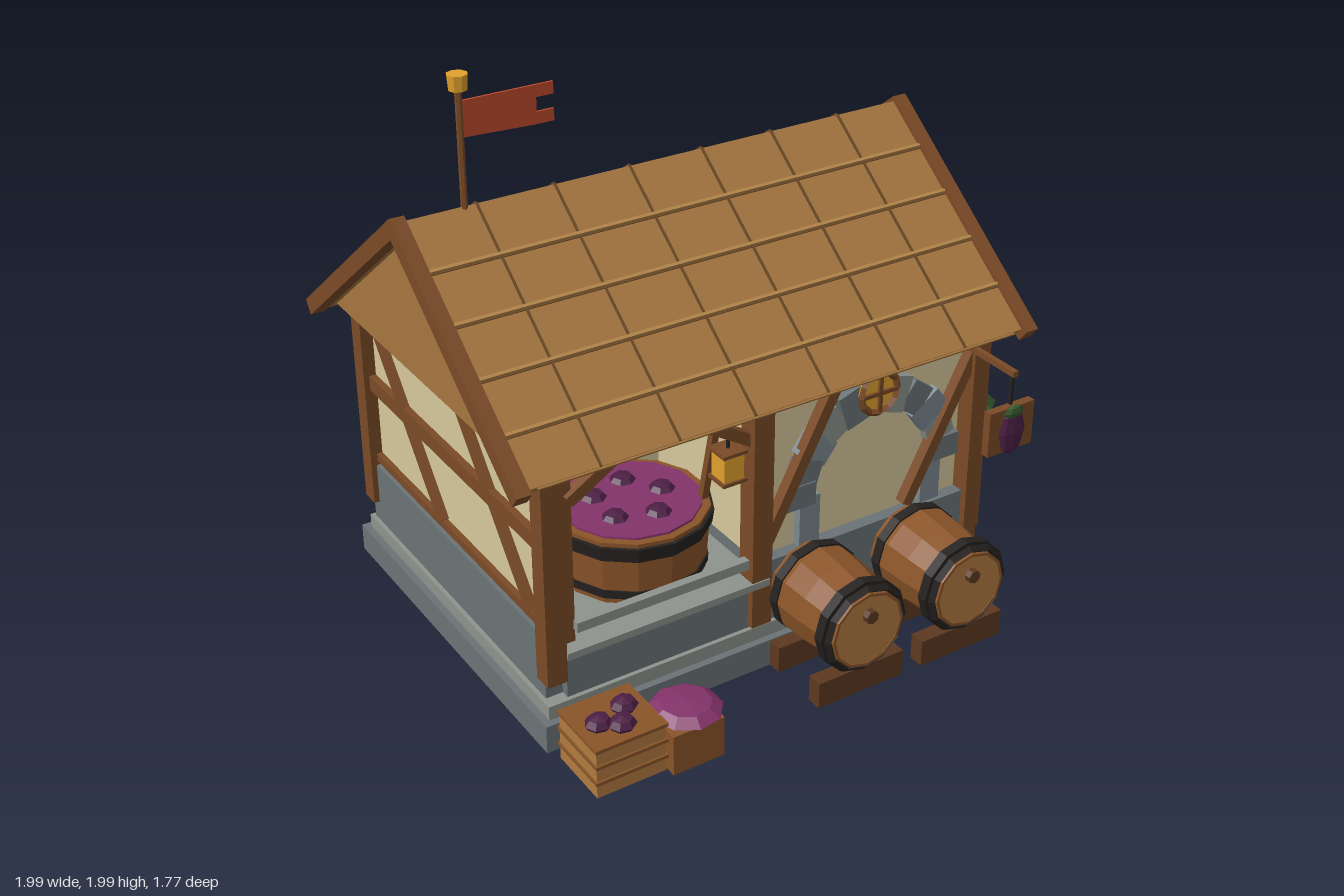
import * as THREE from 'three';

const mat = (color, side = THREE.FrontSide) =>
  new THREE.MeshStandardMaterial({ color, flatShading: true, side });
const M = {
  wood: mat(0x7a4a26), dark: mat(0x5c3820), roof: mat(0xa5763f), batten: mat(0xb98a4c), seam: mat(0x6b4a26),
  plaster: mat(0xd6c89c), stone: mat(0x6a7376), pale: mat(0x8d948c), slate: mat(0x7c8890), iron: mat(0x24211f),
  cask: mat(0x8a5428), crate: mat(0xb07a40), gold: mat(0xe0a02c), flag: mat(0xc04a2c, THREE.DoubleSide),
  grape: mat(0x4c1f45), berry: mat(0x84336a), leaf: mat(0x35582c),
};

export function createModel() {
  const root = new THREE.Group();

  function add(name, geo, m, x = 0, y = 0, z = 0, parent = root) {
    const mesh = new THREE.Mesh(geo, m);
    mesh.name = name;
    mesh.position.set(x, y, z);
    parent.add(mesh);
    return mesh;
  }
  // Box given by its extents
  function box(name, m, x0, x1, y0, y1, z0, z1, parent = root) {
    return add(name, new THREE.BoxGeometry(x1 - x0, y1 - y0, z1 - z0), m,
      (x0 + x1) / 2, (y0 + y1) / 2, (z0 + z1) / 2, parent);
  }
  // Square timber between two points
  function beam(name, m, a, b, w = 0.045, d = w) {
    const p = new THREE.Vector3(...a), q = new THREE.Vector3(...b);
    const mesh = add(name, new THREE.BoxGeometry(w, p.distanceTo(q), d), m);
    mesh.position.copy(p).add(q).multiplyScalar(0.5);
    mesh.quaternion.setFromUnitVectors(new THREE.Vector3(0, 1, 0), q.sub(p).normalize());
    return mesh;
  }
  // Faceted ellipsoid
  function blob(name, m, x, y, z, rx, ry, rz, seg = 7, rows = 4, parent = root) {
    const mesh = add(name, new THREE.SphereGeometry(1, seg, rows), m, x, y, z, parent);
    mesh.scale.set(rx, ry, rz);
    return mesh;
  }

  // Stone foundation
  box('foundation', M.stone, -0.9, 0.84, 0, 0.1, -0.82, 0.54);
  box('foundationLedge', M.pale, -0.875, 0.815, 0.1, 0.15, -0.795, 0.515);
  box('stoneWallRight', M.stone, -0.08, 0.8, 0.15, 0.38, -0.78, 0.5);
  box('stoneWallBack', M.stone, -0.86, -0.08, 0.15, 0.38, -0.78, -0.1);
  box('stoneWallLeft', M.stone, -0.86, -0.79, 0.15, 0.38, -0.1, 0.47);
  box('bayFloor', M.stone, -0.8, -0.08, 0.15, 0.31, -0.1, 0.5);
  box('bayFloorSlab', M.pale, -0.81, -0.06, 0.31, 0.335, -0.1, 0.53);
  box('bayRail', M.pale, -0.76, -0.12, 0.38, 0.415, 0.475, 0.505);

  // Plaster walls around the open bay
  box('plasterRight', M.plaster, -0.08, 0.78, 0.38, 0.98, -0.755, 0.455);
  box('plasterBack', M.plaster, -0.835, -0.08, 0.335, 0.98, -0.755, -0.12);
  box('plasterLeft', M.plaster, -0.835, -0.79, 0.38, 0.98, -0.12, 0.455);

  // Timber frame
  for (const [x0, x1] of [[-0.88, -0.81], [0.755, 0.82]]) {
    box('cornerPostFront', M.wood, x0, x1, 0.23, 0.98, 0.455, 0.525);
    box('cornerPostBack', M.wood, x0, x1, 0.23, 0.98, -0.805, -0.735);
  }
  box('bayPost', M.wood, -0.81, -0.755, 0.335, 0.98, 0.42, 0.48);
  box('middlePost', M.wood, -0.125, -0.05, 0.16, 0.98, 0.45, 0.525);
  box('frontPlate', M.wood, -0.88, 0.82, 0.955, 1.01, 0.455, 0.525);
  box('backPlate', M.wood, -0.88, 0.82, 0.955, 1.01, -0.81, -0.735);
  box('backRail', M.wood, -0.85, 0.79, 0.68, 0.735, -0.785, -0.75);
  box('backSill', M.wood, -0.85, 0.79, 0.39, 0.42, -0.78, -0.75);
  for (const x of [0.785, -0.84]) {
    box('sidePlate', M.wood, x - 0.035, x + 0.035, 0.965, 1.01, -0.81, 0.525);
    box('sideRail', M.wood, x - 0.02, x + 0.02, 0.68, 0.735, -0.74, 0.46);
    box('sideSill', M.wood, x - 0.015, x + 0.015, 0.395, 0.425, -0.74, 0.46);
    for (const z of [-0.05, -0.66]) beam('sideBrace', M.wood, [x, 0.93, z], [x, 0.42, z + 0.43], 0.04);
  }
  for (const x of [0.62, -0.35]) beam('backBrace', M.wood, [x, 0.93, -0.765], [x - 0.35, 0.43, -0.765], 0.04);
  for (const x of [-0.08, 0.51]) beam('frontBrace', M.wood, [x, 0.41, 0.49], [x + 0.28, 0.95, 0.49], 0.04);
  beam('bayBraceLeft', M.wood, [-0.77, 0.85, 0.48], [-0.59, 0.96, 0.48], 0.04);
  beam('bayBraceRight', M.wood, [-0.11, 0.85, 0.48], [-0.29, 0.96, 0.48], 0.04);

  // Slatted vents in the back wall
  for (const x of [0.43, -0.52]) {
    box('ventFrame', M.wood, x - 0.085, x + 0.085, 0.715, 0.85, -0.805, -0.755);
    box('ventOpening', M.iron, x - 0.06, x + 0.06, 0.735, 0.83, -0.81, -0.8);
    for (let i = 0; i < 3; i++)
      box('ventSlat', M.dark, x - 0.06, x + 0.06, 0.747 + i * 0.029, 0.76 + i * 0.029, -0.825, -0.805);
  }

  // Stone arch with round window at the crown
  const ax = 0.375, ay = 0.57;
  for (const s of [-1, 1]) {
    box('archJamb', M.slate, ax + s * 0.25 - 0.04, ax + s * 0.25 + 0.04, 0.38, 0.56, 0.44, 0.485);
    box('archImpost', M.stone, ax + s * 0.295 - 0.06, ax + s * 0.295 + 0.06, 0.535, 0.62, 0.44, 0.495);
  }
  for (let i = 0; i < 9; i++) {
    const a = Math.PI * (0.1 + i * 0.1), r = 0.285;
    const stone = add('archStone', new THREE.BoxGeometry(i % 2 ? 0.13 : 0.11, 0.09, 0.05),
      [M.pale, M.slate, M.stone][i % 3], ax + Math.cos(a) * r, ay + Math.sin(a) * r, 0.465);
    stone.rotation.z = a;
  }
  const pane = add('roundWindow', new THREE.CylinderGeometry(0.07, 0.07, 0.03, 12), M.gold, 0.37, 0.885, 0.495);
  pane.rotation.x = Math.PI / 2;
  add('windowRim', new THREE.TorusGeometry(0.073, 0.013, 4, 12), M.wood, 0.37, 0.885, 0.51);
  box('windowBar', M.wood, 0.363, 0.377, 0.815, 0.955, 0.505, 0.52);
  box('windowBar', M.wood, 0.3, 0.44, 0.878, 0.892, 0.505, 0.52);

  // Roof: solid gable prism and two boarded slopes
  const ridgeY = 1.565, ridgeZ = -0.14, run = 0.735, rise = 0.57;
  const tri = new THREE.Shape([[-0.59, 0.995], [0.865, 0.995], [0.14, 1.55]].map(p => new THREE.Vector2(...p)));
  const gable = add('gables', new THREE.ExtrudeGeometry(tri, { depth: 1.78, bevelEnabled: false }), M.roof, -0.92);
  gable.rotation.y = Math.PI / 2;
  const tilt = Math.atan2(rise, run), len = Math.hypot(rise, run);
  for (const turn of [0, Math.PI]) {
    const side = new THREE.Group(), slope = new THREE.Group();
    side.name = turn ? 'roofBack' : 'roofFront';
    side.position.set(-0.03, ridgeY, ridgeZ);
    side.rotation.y = turn;
    slope.rotation.x = tilt;
    side.add(slope);
    root.add(side);
    box('roofBoards', M.roof, -0.925, 0.925, -0.035, 0, 0, len - 0.01, slope);
    for (let i = 1; i < 5; i++) {
      const z = i * len / 5;
      box('roofBatten', M.batten, -0.92, 0.92, 0, 0.01, z - 0.006, z + 0.004, slope);
      box('roofShadowLine', M.seam, -0.92, 0.92, 0, 0.004, z + 0.004, z + 0.012, slope);
    }
    for (let i = 0; i < 6; i++) {
      const x = -0.68 + i * 0.272;
      box('roofSeam', M.seam, x - 0.003, x + 0.003, 0, 0.008, 0, len - 0.01, slope);
    }
    for (const s of [-1, 1])
      box('bargeBoard', M.wood, s * 0.945 - 0.025, s * 0.945 + 0.025, -0.04, 0.015, -0.01, len + 0.01, slope);
  }

  // Flag on the ridge
  add('flagPole', new THREE.CylinderGeometry(0.011, 0.011, 0.4, 6), M.wood, -0.75, 1.75, ridgeZ);
  add('flagFinial', new THREE.CylinderGeometry(0.034, 0.03, 0.05, 8), M.gold, -0.75, 1.966, ridgeZ);
  const flag = new THREE.Shape([[0, 0.01], [0.24, 0], [0.31, 0], [0.31, 0.04], [0.25, 0.04], [0.25, 0.087],
    [0.31, 0.087], [0.31, 0.127], [0, 0.127]].map(p => new THREE.Vector2(...p)));
  add('flag', new THREE.ExtrudeGeometry(flag, { depth: 0.008, bevelEnabled: false }), M.flag, -0.742, 1.778, ridgeZ - 0.004);

  // Treading tub with grapes
  const tx = -0.385, tz = 0.2;
  add('tub', new THREE.CylinderGeometry(0.262, 0.245, 0.235, 14), M.cask, tx, 0.4525, tz);
  add('tubBand', new THREE.CylinderGeometry(0.273, 0.266, 0.05, 14), M.iron, tx, 0.53, tz);
  add('tubBand', new THREE.CylinderGeometry(0.254, 0.252, 0.03, 14), M.iron, tx, 0.37, tz);
  add('tubMash', new THREE.CylinderGeometry(0.235, 0.235, 0.02, 14), M.berry, tx, 0.568, tz);
  for (let i = 0; i < 5; i++)
    blob('tubGrapes', M.grape, tx + Math.cos(i * 1.26) * 0.12, 0.578, tz + Math.sin(i * 1.26) * 0.12, 0.045, 0.022, 0.045);
  beam('stirringPaddle', M.wood, [-0.19, 0.45, 0.3], [-0.14, 0.9, 0.34], 0.025);

  // Hanging lantern
  box('lanternHook', M.iron, -0.179, -0.171, 0.82, 0.96, 0.446, 0.454);
  box('lantern', M.gold, -0.212, -0.138, 0.72, 0.815, 0.413, 0.487);
  for (const y of [0.71, 0.812]) box('lanternCap', M.wood, -0.22, -0.13, y, y + 0.012, 0.405, 0.495);

  // Two casks lying on chocks
  for (const x of [0.107, 0.522]) {
    const cask = new THREE.Group();
    cask.name = 'cask';
    cask.position.set(x, 0.255, 0.5);
    cask.rotation.x = Math.PI / 2;
    root.add(cask);
    const profile = [[0, 0], [0.15, 0], [0.163, 0.08], [0.158, 0.18], [0.138, 0.34], [0.128, 0.34], [0.128, 0.325], [0, 0.325]];
    add('caskBody', new THREE.LatheGeometry(profile.map(p => new THREE.Vector2(...p)), 12), M.cask, 0, 0, 0, cask);
    add('caskHead', new THREE.CylinderGeometry(0.132, 0.132, 0.01, 12), M.crate, 0, 0.333, 0, cask);
    for (const y of [0.045, 0.295]) {
      const ring = [[0.13, -0.018], [0.167, -0.018], [0.167, 0.018], [0.13, 0.018], [0.13, -0.018]];
      add('caskHoop', new THREE.LatheGeometry(ring.map(p => new THREE.Vector2(...p)), 12), M.iron, 0, y, 0, cask);
    }
    add('caskRim', new THREE.TorusGeometry(0.146, 0.016, 4, 12), M.iron, 0, 0.322, 0, cask).rotation.x = Math.PI / 2;
    add('caskBung', new THREE.CylinderGeometry(0.024, 0.026, 0.03, 7), M.dark, 0, 0.345, -0.06, cask);
    for (const z of [0.56, 0.785]) box('caskChock', M.dark, x - 0.168, x + 0.168, 0, 0.095, z - 0.025, z + 0.03);
  }

  // Crate of grapes and a smaller box with a heaped bunch
  box('crate', M.crate, -0.875, -0.63, 0, 0.18, 0.58, 0.805);
  for (const y of [0.05, 0.11, 0.17]) box('crateSlat', M.cask, -0.88, -0.625, y, y + 0.012, 0.575, 0.812);
  for (const [x, z] of [[-0.81, 0.71], [-0.7, 0.675], [-0.75, 0.75]])
    blob('crateGrapes', M.grape, x, 0.195, z, 0.047, 0.028, 0.043);
  box('smallBox', M.cask, -0.625, -0.44, 0, 0.145, 0.67, 0.84);
  blob('heapedGrapes', M.berry, -0.53, 0.168, 0.76, 0.118, 0.035, 0.12, 9);

  // Hanging sign with a grape bunch
  box('signBracket', M.wood, 0.72, 0.74, 0.945, 0.965, 0.46, 0.75);
  box('signHanger', M.iron, 0.725, 0.735, 0.84, 0.95, 0.73, 0.74);
  box('signBoard', M.wood, 0.635, 0.82, 0.675, 0.835, 0.72, 0.75);
  blob('signGrapes', M.grape, 0.73, 0.745, 0.752, 0.055, 0.085, 0.016, 8);
  blob('signLeaf', M.leaf, 0.73, 0.82, 0.755, 0.042, 0.025, 0.014, 6);

  // Vine trellis along the side
  for (const z of [0.39, -0.09, -0.565]) box('trellisPost', M.wood, 0.868, 0.912, 0, 0.59, z - 0.022, z + 0.022);
  box('trellisRail', M.wood, 0.88, 0.9, 0.55, 0.575, -0.66, 0.42);
  for (let i = 0; i < 5; i++) {
    const z = 0.345 - i * 0.227;
    blob('vineLeafUpper', M.leaf, 0.905, 0.608, z, 0.09, 0.036, 0.09, 7);
    blob('vineLeafLower', M.leaf, 0.925, 0.55, z - 0.105, 0.07, 0.03, 0.075, 7);
  }
  for (const z of [0.31, 0.08, -0.15, -0.38, -0.585]) blob('grapeBunch', M.grape, 0.9, 0.453, z, 0.06, 0.092, 0.05, 6);
  for (const z of [0.195, -0.28]) {
    const bunch = add('youngBunch', new THREE.ConeGeometry(0.048, 0.09, 6), M.berry, 0.9, 0.38, z);
    bunch.rotation.x = Math.PI;
    add('youngBunchTop', new THREE.ConeGeometry(0.048, 0.08, 6), M.berry, 0.9, 0.465, z);
  }
  return root;
}
